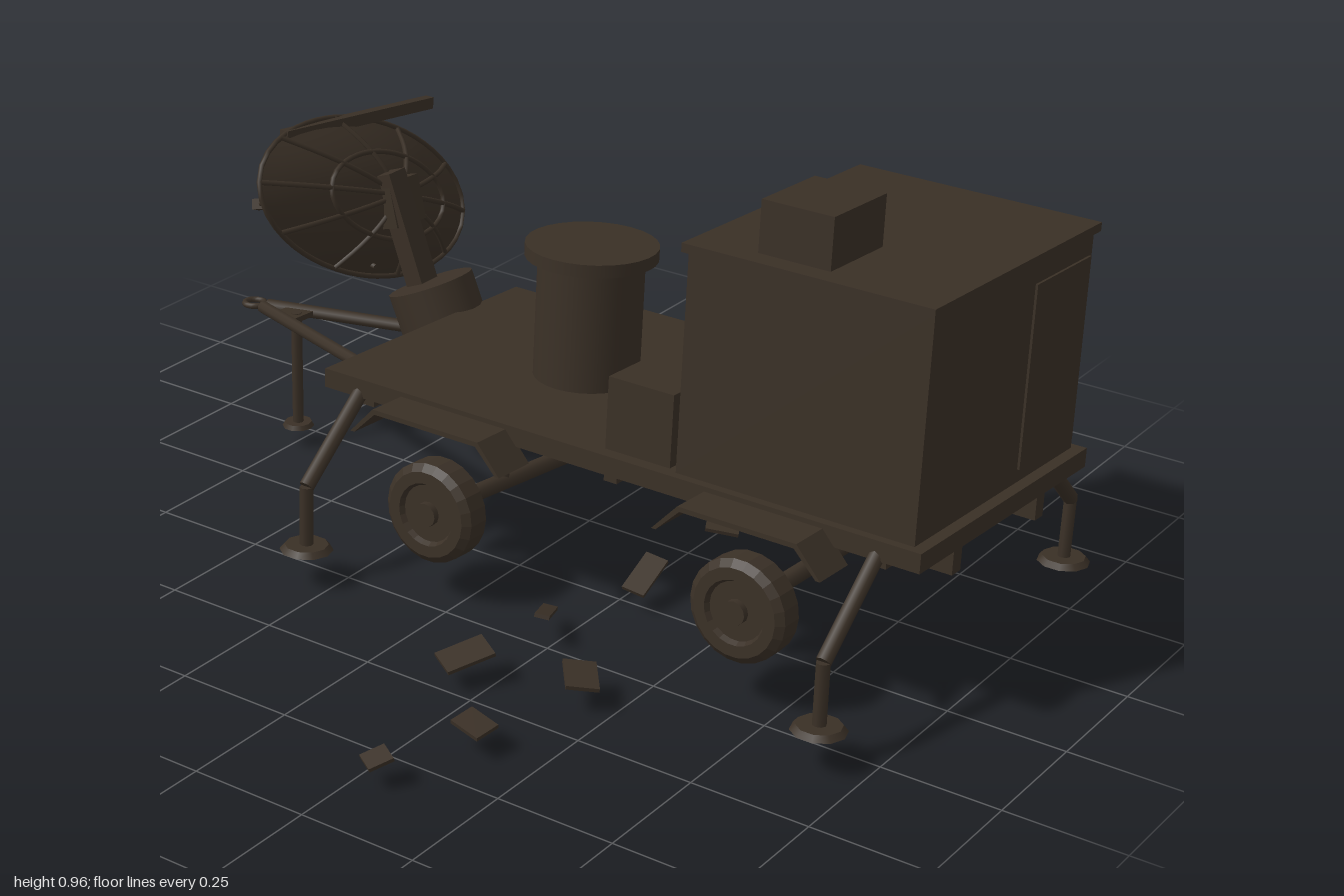
import * as THREE from 'three';

const paint = new THREE.MeshStandardMaterial({ color: 0x3a3026 });
paint.name = 'dark olive brown';
const sheet = paint.clone();
sheet.name = 'dark olive brown';
sheet.side = THREE.DoubleSide;

const V = (x, y, z) => new THREE.Vector3(x, y, z);

function add(parent, name, geo, x = 0, y = 0, z = 0, mat = paint) {
  const m = new THREE.Mesh(geo, mat);
  m.name = name;
  m.position.set(x, y, z);
  parent.add(m);
  return m;
}
const box = (w, h, d) => new THREE.BoxGeometry(w, h, d);
const cyl = (r1, r2, h, n = 20) => new THREE.CylinderGeometry(r1, r2, h, n);

// Round or square bar between two points
function rod(parent, name, a, b, r, sides = 8) {
  const m = add(parent, name, cyl(r, r, a.distanceTo(b), sides));
  m.position.copy(a).lerp(b, 0.5);
  m.quaternion.setFromUnitVectors(V(0, 1, 0), b.clone().sub(a).normalize());
  return m;
}

// Wheel turning about x: tyre with bevelled shoulders and a hub on each side
function wheel(parent, x, y, z) {
  const g = new THREE.Group();
  g.name = 'wheel';
  g.position.set(x, y, z);
  g.rotation.z = -0.063;
  const profile = [[0, -0.026], [0.06, -0.026], [0.066, -0.037], [0.09, -0.037], [0.105, -0.024],
    [0.105, 0.024], [0.09, 0.037], [0.066, 0.037], [0.06, 0.026], [0, 0.026]];
  const tyre = new THREE.LatheGeometry(profile.map(p => new THREE.Vector2(...p)), 22).toNonIndexed();
  tyre.computeVertexNormals();
  tyre.rotateZ(Math.PI / 2);
  add(g, 'tyre', tyre);
  add(g, 'hub', cyl(0.025, 0.025, 0.08, 12).rotateZ(Math.PI / 2));
  parent.add(g);
}

// Mudguard folded from one sheet
function fenderGeometry() {
  const pts = [[-0.185, -0.06], [-0.13, 0], [0.13, 0], [0.185, -0.06],
    [0.175, -0.06], [0.125, -0.01], [-0.125, -0.01], [-0.175, -0.06]];
  const shape = new THREE.Shape(pts.map(p => new THREE.Vector2(...p)));
  return new THREE.ExtrudeGeometry(shape, { depth: 0.1, bevelEnabled: false })
    .translate(0, 0, -0.05).rotateY(Math.PI / 2);
}

function buildTrailer(root) {
  // Leaning body, with the middle of the deck top as its origin
  const t = new THREE.Group();
  t.name = 'trailer';
  t.position.set(0.19, 0.375, 0);
  t.rotation.z = -0.063;
  root.add(t);
  add(t, 'deck', box(0.66, 0.04, 1.39), 0, -0.02, 0.305);
  for (const z of [0.9, 0.3, -0.3]) add(t, 'crossMember', box(0.6, 0.03, 0.03), 0, -0.052, z);

  // Cabin with roof, door and roof unit
  add(t, 'cabin', box(0.62, 0.45, 0.52), 0, 0.225, 0.715);
  add(t, 'roof', box(0.65, 0.018, 0.535), 0, 0.456, 0.715);
  add(t, 'door', box(0.22, 0.375, 0.006), 0.19, 0.215, 0.977);
  add(t, 'roofUnit', box(0.187, 0.105, 0.155), -0.184, 0.517, 0.662);

  // Equipment on the deck
  add(t, 'locker', box(0.22, 0.15, 0.15), -0.19, 0.075, 0.36);
  add(t, 'drumBody', cyl(0.11, 0.11, 0.26, 28), 0, 0.13, 0.03);
  add(t, 'drumLid', cyl(0.137, 0.137, 0.027, 28), 0, 0.27, 0.03);
  add(t, 'barrel', cyl(0.085, 0.092, 0.09, 18).rotateZ(Math.PI / 2), 0.332, 0.087, 0.375);
  add(t, 'barrelCap', cyl(0.06, 0.085, 0.018, 18).rotateZ(-Math.PI / 2), 0.385, 0.087, 0.375);
  add(t, 'barrelStand', box(0.08, 0.03, 0.1), 0.29, 0.012, 0.375);

  const fender = fenderGeometry();
  for (const s of [-1, 1]) {
    add(t, 'chassisRail', box(0.032, 0.06, 1.37), s * 0.165, -0.068, 0.305);
    for (const z of [0.663, -0.063]) add(t, 'fender', fender, s * 0.372, -0.01, z);
    // Cranked jack legs with round feet
    for (const z of [0.905, -0.305]) {
      const knee = V(s * 0.488, -0.187, z), foot = V(s * 0.485, -0.32, z);
      rod(t, 'jackArm', V(s * 0.31, -0.025, z), knee, 0.016);
      rod(t, 'jackLeg', knee, foot, 0.014);
      add(t, 'jackFoot', cyl(0.045, 0.055, 0.012, 10), foot.x, foot.y, z);
    }
    // Converging drawbar
    rod(t, 'drawbar', V(s * 0.165, -0.065, -0.36), V(s * 0.008, -0.063, -0.83), 0.014);
  }
  add(t, 'towRing', new THREE.TorusGeometry(0.022, 0.007, 8, 16).rotateX(Math.PI / 2), 0, -0.063, -0.86);
  add(t, 'drawbarPlate', box(0.07, 0.012, 0.06), 0, -0.063, -0.75);

  // Drawbar support leg
  rod(root, 'supportLeg', V(0.185, 0.32, -0.74), V(0.18, 0.055, -0.74), 0.012);
  add(root, 'supportFoot', cyl(0.03, 0.035, 0.01, 10), 0.18, 0.055, -0.74);

  // Sagging axles
  for (const [z, left, right] of [[0.67, 0.212, 0.165], [-0.055, 0.2, 0.11]]) {
    wheel(root, -0.205, left, z);
    wheel(root, 0.545, right, z);
    rod(root, 'axle', V(-0.2, left, z), V(0.54, right, z), 0.018, 10);
    for (const x of [0.02, 0.35]) {
      const y = left + (right - left) * (x + 0.2) / 0.74;
      rod(root, 'axleHanger', V(x, y, z), V(x, 0.3, z), 0.013, 6);
    }
  }
}

function buildAntenna(root) {
  // Tipped pedestal and arm
  const ped = add(root, 'pedestal', cyl(0.095, 0.095, 0.235, 20), 0.345, 0.29, -0.447);
  ped.rotation.x = -0.4;
  const arm = add(root, 'antennaArm', box(0.055, 0.27, 0.045), 0.37, 0.49, -0.575);
  arm.rotation.x = -0.35;
  const mount = add(root, 'dishMount', box(0.1, 0.1, 0.05), 0.39, 0.545, -0.612);
  mount.rotation.set(-0.27, 0, -0.06);

  // Oval reflector, open toward local -z
  const a = 0.38, b = 0.173, depth = 0.09;
  const d = new THREE.Group();
  d.name = 'dish';
  d.position.set(0.385, 0.535, -0.705);
  d.rotation.set(-0.27, 0, -0.384, 'ZYX');
  root.add(d);
  const profile = [];
  for (let i = 0; i <= 10; i++) {
    const r = i / 10;
    profile.push(new THREE.Vector2(r, depth * (r * r - 1)));
  }
  add(d, 'reflector', new THREE.LatheGeometry(profile, 40).rotateX(-Math.PI / 2).scale(a, b, 1), 0, 0, 0, sheet);

  // Rim, ring and ribs on the back
  const onDish = (r, t) => V(a * r * Math.cos(t), b * r * Math.sin(t), depth * (1 - r * r) + 0.004);
  for (const r of [0.55, 1]) {
    const pts = Array.from({ length: 32 }, (_, i) => onDish(r, i * Math.PI / 16));
    add(d, r === 1 ? 'rim' : 'backRing',
      new THREE.TubeGeometry(new THREE.CatmullRomCurve3(pts, true), 48, 0.006, 5, true));
  }
  for (let k = 0; k < 10; k++) {
    const pts = [0.1, 0.4, 0.7, 1].map(r => onDish(r, k * Math.PI / 5));
    add(d, 'backRib', new THREE.TubeGeometry(new THREE.CatmullRomCurve3(pts), 8, 0.006, 5));
  }

  // Feed on three struts
  const apex = V(0, 0, -0.29);
  for (const [x, y] of [[-0.25, -0.02], [0.25, -0.02], [0, -0.155]])
    rod(d, 'feedStrut', V(x, y, 0.03), apex, 0.006, 6);
  add(d, 'feed', box(0.024, 0.024, 0.036), 0, 0, -0.285);

  // Straight bar above the dish
  const bar = add(root, 'antennaBar', box(0.51, 0.026, 0.022), 0.408, 0.705, -0.735);
  bar.rotation.z = -0.13;
}

function buildDebris(root) {
  // x, z, width, depth, turn, tilt, height
  const scraps = [
    [0.80, -0.285, 0.12, 0.07, 0.6, -0.35, 0.06],
    [-0.45, 0.20, 0.10, 0.065, -0.5, 0.2, 0.065],
    [-0.22, 0.225, 0.10, 0.03, 0.4, -0.3, 0.065],
    [-0.84, 0.295, 0.05, 0.045, -0.5, 0.25, 0.06],
    [-0.64, 0.365, 0.055, 0.07, -0.15, 0.12, 0.06],
    [-0.385, 0.425, 0.09, 0.065, 0.7, 0.1, 0.065],
    [0.015, 0.30, 0.10, 0.05, 0.1, 0.4, 0.07],
    [0.34, 0.28, 0.12, 0.07, 0.5, 0.2, 0.065],
    [0.42, 0.36, 0.13, 0.06, -0.4, -0.15, 0.07],
    [0.38, 0.50, 0.09, 0.06, 0.9, 0.25, 0.065],
  ];
  for (const [x, z, w, d, turn, tilt, y] of scraps) {
    const m = add(root, 'debris', box(w, 0.008, d), x, y, z);
    m.rotation.set(0.15, turn, tilt, 'YXZ');
  }
}

export function createModel() {
  const root = new THREE.Group();
  root.name = 'radarTrailer';
  buildTrailer(root);
  buildAntenna(root);
  buildDebris(root);
  return root;
}
